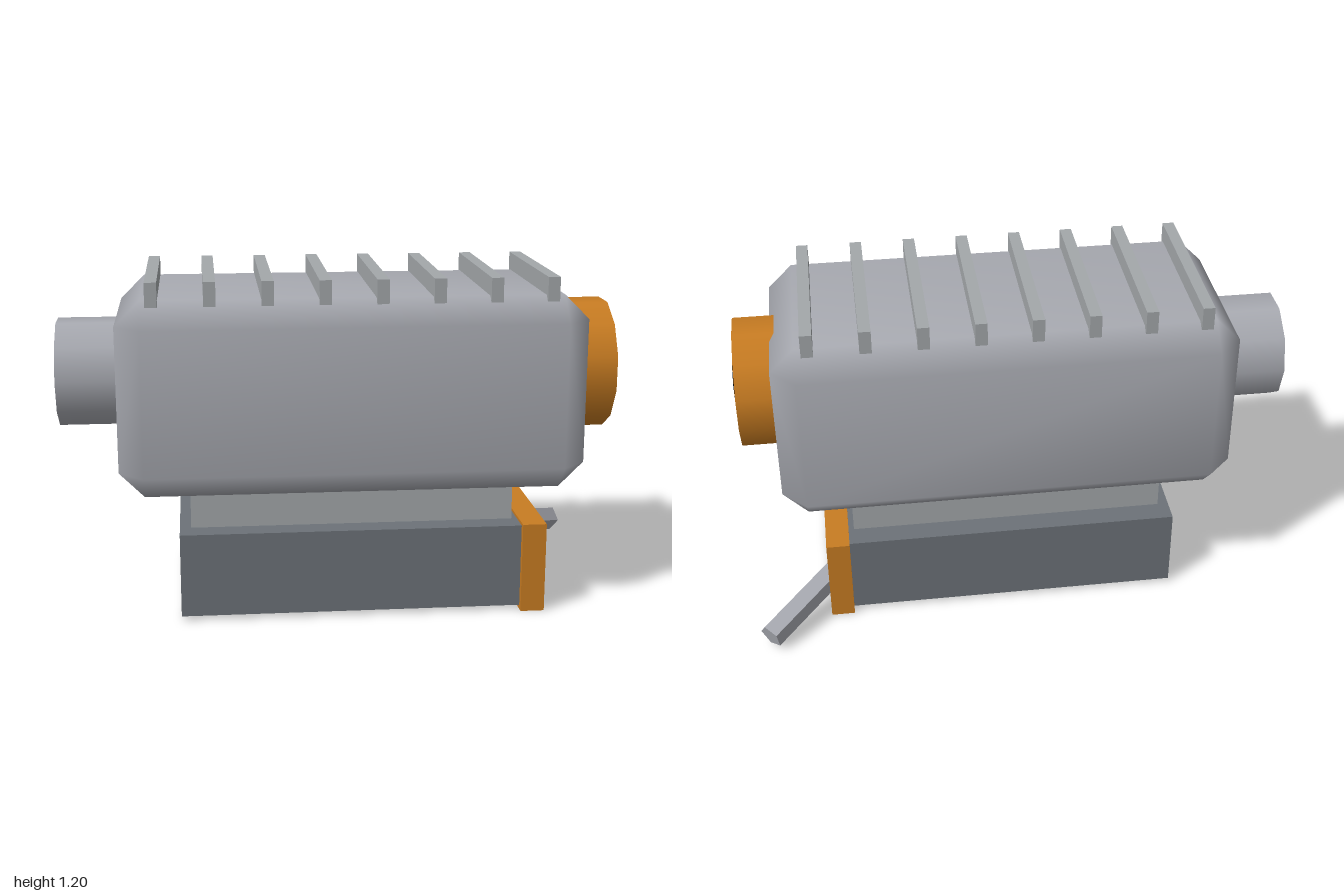
import * as THREE from 'three';
import { mergeVertices } from 'three/addons/utils/BufferGeometryUtils.js';
import { ConvexGeometry } from 'three/addons/geometries/ConvexGeometry.js';

const AXIS_Y = 0.835; // height of the housing's long axis
const AXIS_Z = 0.083; // depth of the shared centre plane

function material(name, color, flatShading = false) {
  const m = new THREE.MeshStandardMaterial({ color, flatShading });
  m.name = name;
  return m;
}

// Box with every edge chamfered once and softly shaded
function chamferedBox(w, h, d, c) {
  const points = [];
  for (const x of [-w / 2, w / 2]) for (const y of [-h / 2, h / 2]) for (const z of [-d / 2, d / 2]) {
    const corner = new THREE.Vector3(x, y, z);
    for (let keep = 0; keep < 3; keep++) {
      const p = corner.clone();
      for (let axis = 0; axis < 3; axis++) {
        if (axis !== keep) p.setComponent(axis, p.getComponent(axis) - Math.sign(p.getComponent(axis)) * c);
      }
      points.push(p);
    }
  }
  let g = new ConvexGeometry(points);
  g.deleteAttribute('normal');
  g = mergeVertices(g, 1e-4);
  g.computeVertexNormals();
  return g;
}

export function createModel() {
  const model = new THREE.Group();
  model.name = 'finnedMotor';

  const metal = material('bright metal', 0xa8aab1);
  const plain = material('plain grey', 0xa3a7aa);
  const dark = material('dark grey', 0x6c7278);
  const orange = material('orange', 0xc87c22);
  const black = material('black', 0x0c0c0c);

  function add(name, geometry, mat, x, y, z) {
    const mesh = new THREE.Mesh(geometry, mat);
    mesh.name = name;
    mesh.position.set(x, y, z);
    model.add(mesh);
    return mesh;
  }

  // Box given by its limits along each axis
  function box(name, mat, [x0, x1], [y0, y1], [z0, z1]) {
    return add(name, new THREE.BoxGeometry(x1 - x0, y1 - y0, z1 - z0), mat,
      (x0 + x1) / 2, (y0 + y1) / 2, (z0 + z1) / 2);
  }

  // Cylinder lying along x on the housing's axis
  function disc(name, mat, radius, sides, turn, x0, x1) {
    const g = new THREE.CylinderGeometry(radius, radius, x1 - x0, sides, 1, false, turn);
    g.rotateZ(-Math.PI / 2);
    return add(name, g, mat, (x0 + x1) / 2, AXIS_Y, AXIS_Z);
  }

  // Base, end plate and neck
  box('base', dark, [-0.58, 0.635], [0.015, 0.315], [-0.262, 0.428]);
  box('basePlate', orange, [0.63, 0.715], [0, 0.325], [-0.285, 0.451]);
  box('neck', plain, [-0.54, 0.61], [0.31, 0.47], [-0.177, 0.343]);

  // Housing with its two end pieces
  add('housing', chamferedBox(1.64, 0.69, 0.776, 0.088), metal, 0.035, 0.79, AXIS_Z);
  disc('rearStub', metal, 0.194, 10, 0, -1, -0.75);
  disc('endCap', orange, 0.238, 12, Math.PI / 12, 0.82, 0.985);
  disc('capHole', black, 0.087, 8, Math.PI / 8, 0.98, 0.998);

  // Cooling fins across the top
  for (let i = 0; i < 8; i++) {
    const x = -0.657 + i * 0.197;
    box('fin' + (i + 1), plain, [x - 0.021, x + 0.021], [1.115, 1.2], [-0.244, 0.407]);
  }

  // Five-sided lever pointing out and down from the end plate
  const rod = new THREE.CylinderGeometry(0.048, 0.048, 0.378, 5).toNonIndexed();
  rod.computeVertexNormals();
  const lever = add('lever', rod, metal, 0.81, 0.098, -0.305);
  lever.rotation.set(0, Math.PI / 4, -THREE.MathUtils.degToRad(103));

  return model;
}
